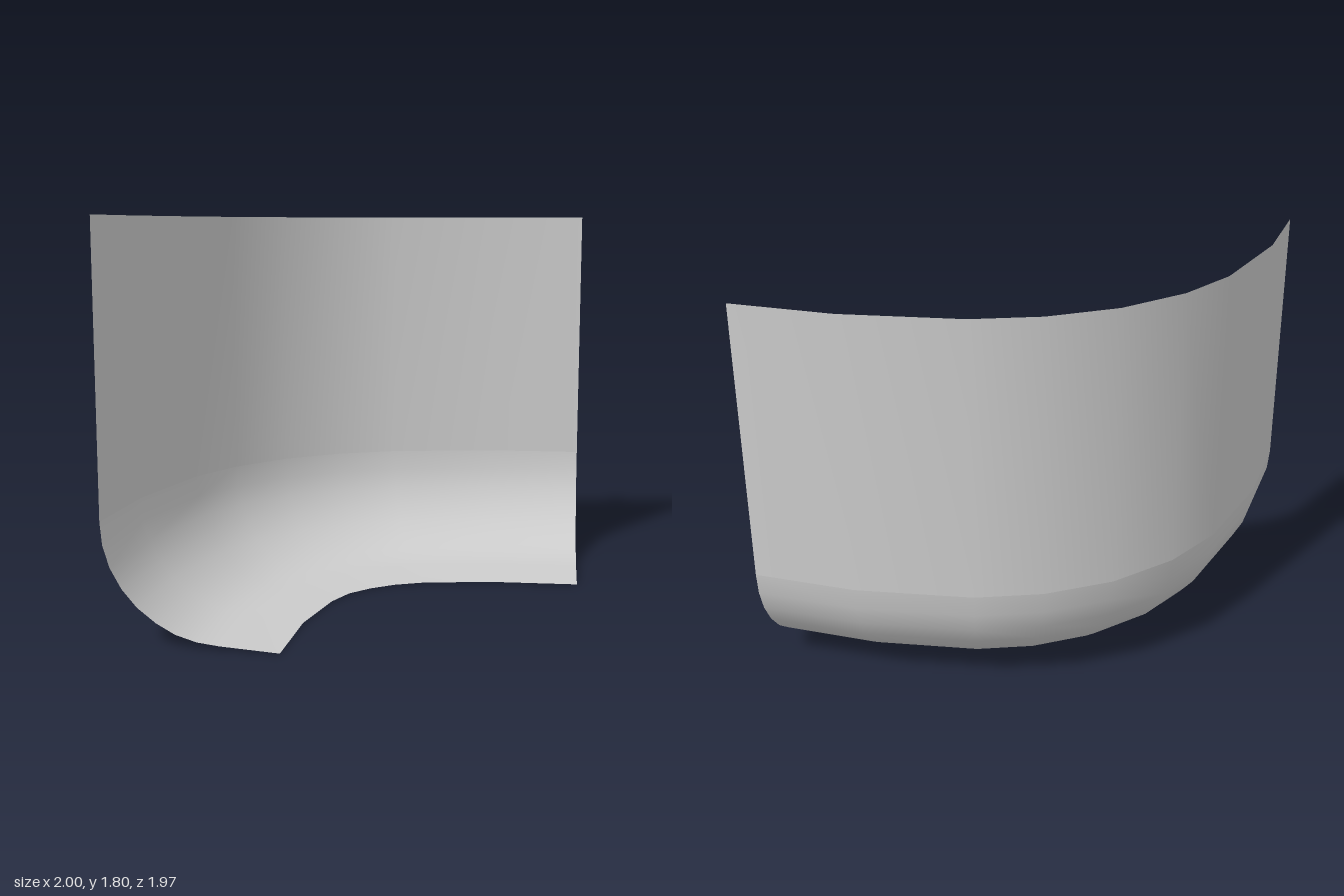
import * as THREE from 'three';

// Plan curves of the bend, from the front end round to the right end: [x, z]
const OUTER = [[-1, 0.98], [-0.98, 0.5], [-0.87, -0.02], [-0.74, -0.3], [-0.53, -0.56],
  [-0.27, -0.75], [0.01, -0.87], [0.53, -0.97], [1, -0.985]];
const INNER = [[-0.235, 0.985], [-0.22, 0.57], [-0.15, 0.23], [-0.09, 0.09], [0, -0.01],
  [0.11, -0.09], [0.25, -0.15], [0.59, -0.21], [1, -0.225]];

// Cross-sections: [fraction from outer to inner curve, height]
const WALL = [[0, 1.8], [0, 0.53]];
const COVE = [[0, 0.53], [0.012, 0.43], [0.05, 0.335], [0.115, 0.245], [0.2, 0.168],
  [0.305, 0.105], [0.415, 0.058], [0.535, 0.03], [0.66, 0.018], [1, 0]];

// Sweep a cross-section between the two plan curves
function sweep(name, profile, material) {
  const positions = [], index = [], n = profile.length;
  OUTER.forEach(([ox, oz], i) => {
    const [ix, iz] = INNER[i];
    for (const [t, y] of profile) {
      positions.push(ox + (ix - ox) * t, y, oz + (iz - oz) * t);
    }
  });
  for (let i = 0; i < OUTER.length - 1; i++) {
    for (let j = 0; j < n - 1; j++) {
      const a = i * n + j, b = a + n;
      index.push(a, a + 1, b, b, a + 1, b + 1);
    }
  }
  const geometry = new THREE.BufferGeometry();
  geometry.setAttribute('position', new THREE.Float32BufferAttribute(positions, 3));
  geometry.setIndex(index);
  geometry.computeVertexNormals();
  const mesh = new THREE.Mesh(geometry, material);
  mesh.name = name;
  return mesh;
}

export function createModel() {
  const group = new THREE.Group();
  group.name = 'curvedWallCorner';
  const material = new THREE.MeshStandardMaterial({ color: 0xcccccc, side: THREE.DoubleSide });
  // Separate meshes keep the shading seam between wall and rounded base
  group.add(sweep('wall', WALL, material), sweep('roundedBase', COVE, material));
  return group;
}
